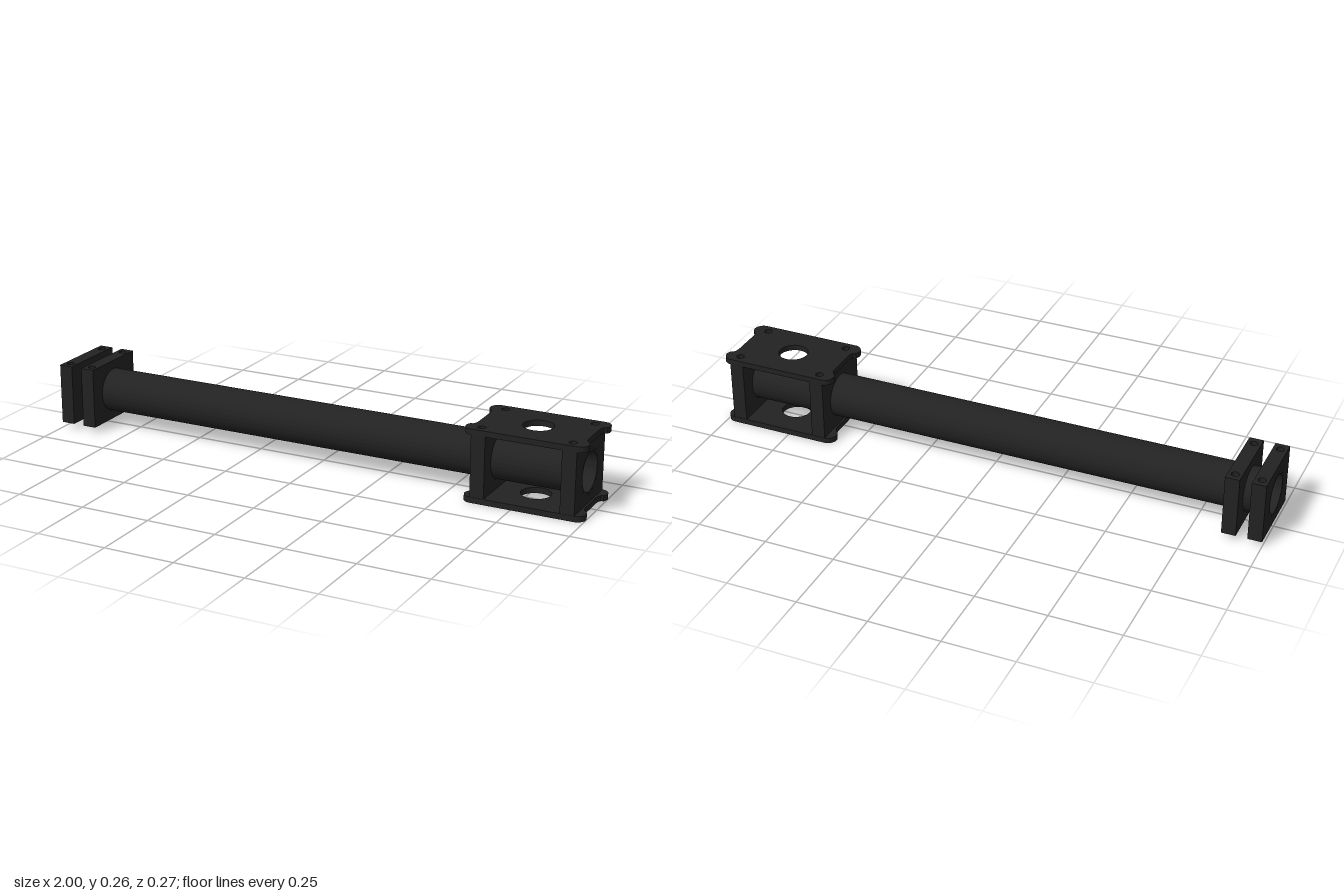
import * as THREE from 'three';
import { toCreasedNormals } from 'three/addons/utils/BufferGeometryUtils.js';

const material = new THREE.MeshStandardMaterial({ color: 0x222222 });
const AXIS_Y = 0.1285;   // height of the tube axis
const HALF_W = 0.132;    // half width of the clamp blocks
const BASE = 0.02, BLOCK_H = 0.217, PLATE_T = 0.02;
const BORE = 0.0775, BOLT_R = 0.0135, BOLT_Z = 0.101;
const SPLIT = 0.084;     // between bored core and bolt cheeks

function hole(shape, x, y, r) {
  const path = new THREE.Path();
  path.absarc(x, y, r, 0, Math.PI * 2, true);
  shape.holes.push(path);
}

function rect(x0, y0, x1, y1) {
  return new THREE.Shape([[x0, y0], [x1, y0], [x1, y1], [x0, y1]].map(p => new THREE.Vector2(...p)));
}

function extrude(shape, depth, curveSegments = 24) {
  const geo = new THREE.ExtrudeGeometry(shape, { depth, bevelEnabled: false, curveSegments });
  return toCreasedNormals(geo, 0.6);
}

function add(parent, name, geo) {
  const mesh = new THREE.Mesh(geo, material);
  mesh.name = name;
  parent.add(mesh);
  return mesh;
}

// Clamp block: core bored along x, cheeks drilled along y
function clampBlock(name, x, width = 0.05) {
  const block = new THREE.Group();
  block.name = name;
  const core = rect(-SPLIT, -BLOCK_H / 2, SPLIT, BLOCK_H / 2);
  hole(core, 0, 0, BORE);
  add(block, 'boredCore', extrude(core, width, 48).rotateY(Math.PI / 2).translate(-width / 2, AXIS_Y, 0));
  for (const side of [-1, 1]) {
    const inner = side * SPLIT, outer = side * HALF_W;
    const cheek = rect(-width / 2, Math.min(inner, outer), width / 2, Math.max(inner, outer));
    hole(cheek, 0, side * BOLT_Z, BOLT_R);
    add(block, 'boltCheek', extrude(cheek, BLOCK_H).rotateX(-Math.PI / 2).translate(0, BASE, 0));
  }
  block.position.x = x;
  return block;
}

// Plate with rounded corner ears, bolt holes and a central opening
function plateGeometry() {
  const half = 0.19, r = 0.032, cx = 0.2125 - r, cz = 0.133 - r;
  const s = new THREE.Shape();
  s.moveTo(half, -0.05);
  s.lineTo(half, 0.05);
  s.quadraticCurveTo(half, 0.067, half + 0.007, cz - r * 0.7);
  s.absarc(cx, cz, r, -0.65, Math.PI / 2, false);
  s.absarc(-cx, cz, r, Math.PI / 2, Math.PI + 0.65, false);
  s.quadraticCurveTo(-half, 0.067, -half, 0.05);
  s.lineTo(-half, -0.05);
  s.quadraticCurveTo(-half, -0.067, -half - 0.007, -cz + r * 0.7);
  s.absarc(-cx, -cz, r, Math.PI - 0.65, Math.PI * 1.5, false);
  s.absarc(cx, -cz, r, -Math.PI / 2, 0.65, false);
  s.quadraticCurveTo(half, -0.067, half, -0.05);
  hole(s, 0, 0, 0.052);
  for (const x of [-0.1575, 0.1575])
    for (const z of [-BOLT_Z, BOLT_Z]) hole(s, x, z, BOLT_R);
  return extrude(s, PLATE_T).rotateX(-Math.PI / 2);
}

export function createModel() {
  const model = new THREE.Group();
  model.name = 'tubeArm';

  // Hollow tube running through all the clamps
  const ring = new THREE.Shape();
  ring.absarc(0, 0, 0.077, 0, Math.PI * 2, false);
  hole(ring, 0, 0, 0.069);
  add(model, 'tube', extrude(ring, 1.97, 48).rotateY(Math.PI / 2).translate(-1, AXIS_Y, 0));

  // Clamp pairs at both ends
  model.add(clampBlock('outerEndClamp', -0.975));
  model.add(clampBlock('innerEndClamp', -0.885));
  model.add(clampBlock('innerMountClamp', 0.63));
  model.add(clampBlock('outerMountClamp', 0.945));

  // Plates sandwiching the mount clamps
  const plate = plateGeometry();
  add(model, 'bottomPlate', plate).position.set(0.7875, 0, 0);
  add(model, 'topPlate', plate).position.set(0.7875, BASE + BLOCK_H, 0);
  return model;
}
